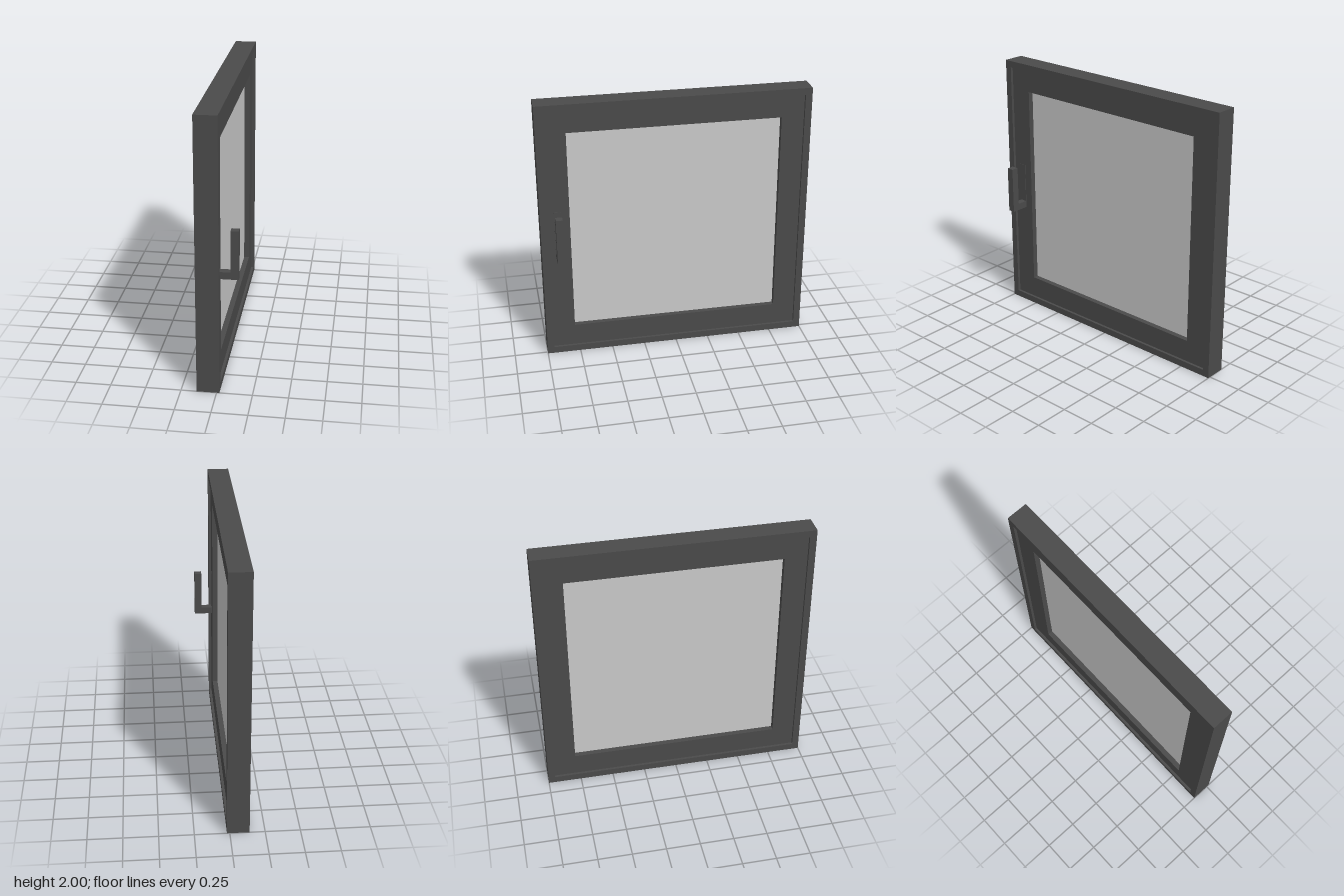
import * as THREE from 'three';

export function createModel() {
  const window_ = new THREE.Group();
  window_.name = 'window';

  const darkFrame = new THREE.MeshStandardMaterial({ color: 0x4a4a4a });
  darkFrame.name = 'dark frame';
  const paleGlass = new THREE.MeshStandardMaterial({ color: 0xc9c9c9 });
  paleGlass.name = 'pale glass';

  function add(parent, name, geometry, material) {
    const mesh = new THREE.Mesh(geometry, material);
    mesh.name = name;
    parent.add(mesh);
  }

  // Box given by its limits on each axis
  function box([x0, x1], [y0, y1], [z0, z1]) {
    return new THREE.BoxGeometry(x1 - x0, y1 - y0, z1 - z0)
      .translate((x0 + x1) / 2, (y0 + y1) / 2, (z0 + z1) / 2);
  }

  // Square ring in the yz plane, from x0 to x1, centred at y = 1
  function ring(outer, inner, x0, x1) {
    const square = (h) => [[-h, -h], [h, -h], [h, h], [-h, h]].map(([a, b]) => new THREE.Vector2(a, b));
    const shape = new THREE.Shape(square(outer));
    shape.holes.push(new THREE.Path(square(inner).reverse()));
    return new THREE.ExtrudeGeometry(shape, { depth: x1 - x0, bevelEnabled: false })
      .rotateY(Math.PI / 2)
      .translate(x0, 1, 0);
  }

  // Fixed outer frame, with the sash set back inside it on both faces
  add(window_, 'outerFrame', ring(1, 0.95, -0.14, 0.02), darkFrame);
  add(window_, 'sash', ring(0.95, 0.783, -0.12, 0), darkFrame);

  // Pane, recessed from both faces of the sash
  add(window_, 'glassPane', box([-0.08, -0.04], [0.217, 1.783], [-0.783, 0.783]), paleGlass);

  // L-shaped handle on a thin back plate
  const handle = new THREE.Group();
  handle.name = 'handle';
  const width = [0.845, 0.897];
  add(handle, 'handlePlate', box([0, 0.004], [0.823, 1.177], width), darkFrame);
  add(handle, 'handleStem', box([0.004, 0.085], [0.823, 0.875], width), darkFrame);
  add(handle, 'handleGrip', box([0.085, 0.14], [0.823, 1.177], width), darkFrame);
  window_.add(handle);

  return window_;
}
